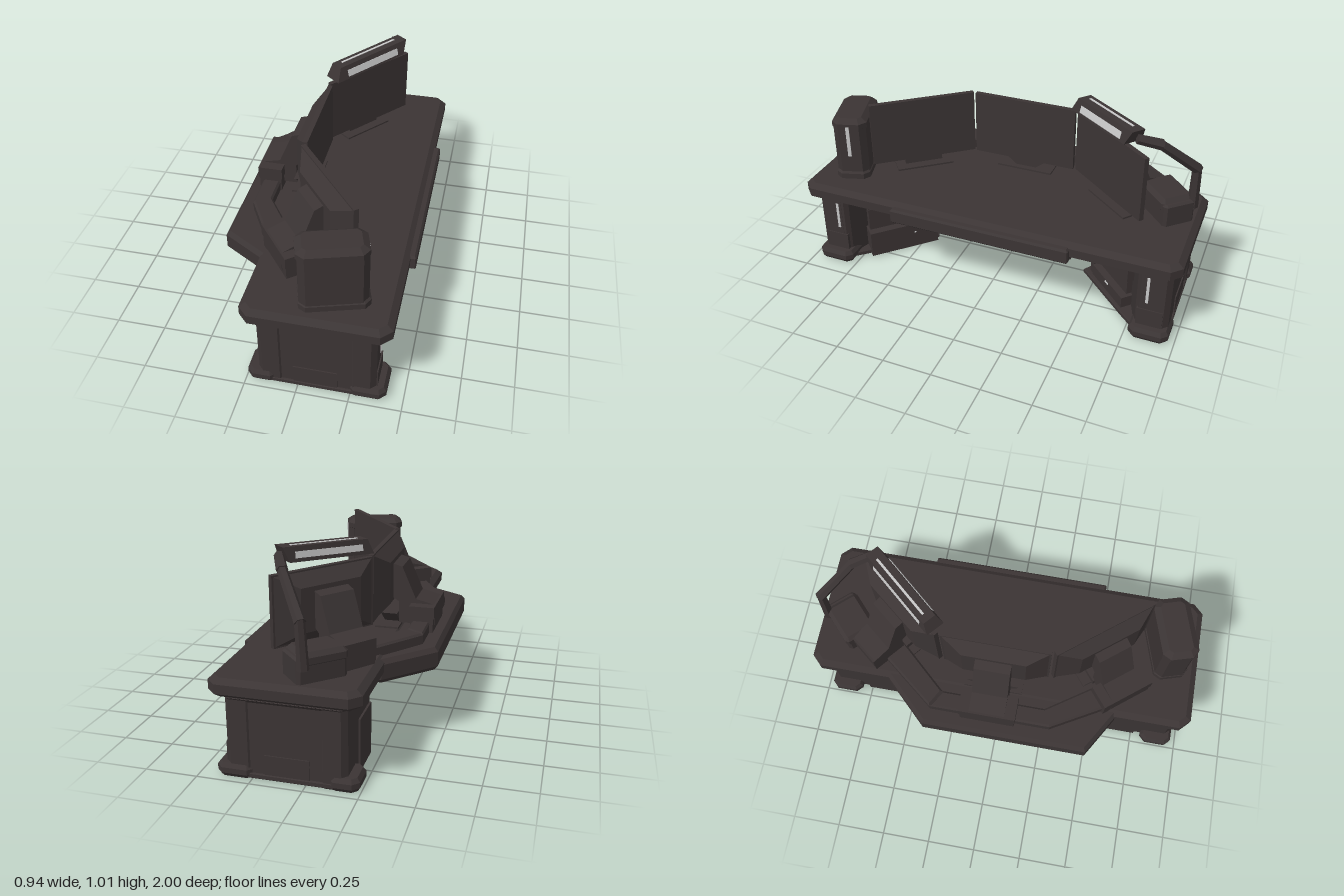
import * as THREE from 'three';

export function createModel() {
  const root = new THREE.Group();
  const dark = new THREE.MeshStandardMaterial({ color: 0x3b3434 });
  dark.name = 'dark casing';
  const glow = new THREE.MeshStandardMaterial({ color: 0xc8c8c8 });
  glow.name = 'pale light';

  const add = (name, geo, mat = dark, parent = root) => {
    const m = new THREE.Mesh(geo, mat);
    m.name = name;
    parent.add(m);
    return m;
  };
  const group = (name, x, y, z, ry = 0) => {
    const g = new THREE.Group();
    g.name = name;
    g.position.set(x, y, z);
    g.rotation.y = ry;
    root.add(g);
    return g;
  };
  const box = (name, w, h, d, x, y, z, mat = dark, parent = root) => {
    const m = add(name, new THREE.BoxGeometry(w, h, d), mat, parent);
    m.position.set(x, y, z);
    return m;
  };
  const outline = (pts) => new THREE.Shape(pts.map(([a, b]) => new THREE.Vector2(a, b)));
  // Horizontal slab from a plan outline of [x, z] points; rims cut in by b and down by t
  const slab = (name, pts, y0, y1, b = 0.015, parent = root, t = b) => {
    const geo = new THREE.ExtrudeGeometry(outline(pts.map(([x, z]) => [x, -z])), {
      depth: y1 - y0 - 2 * t, bevelEnabled: true, bevelSegments: 1,
      bevelSize: b, bevelThickness: t, bevelOffset: -b,
    });
    geo.rotateX(-Math.PI / 2).translate(0, y0 + t, 0);
    return add(name, geo, dark, parent);
  };
  const cutRect = (x0, x1, z0, z1, c) => [
    [x0 + c, z0], [x1 - c, z0], [x1, z0 + c], [x1, z1 - c],
    [x1 - c, z1], [x0 + c, z1], [x0, z1 - c], [x0, z0 + c]];
  // Box whose -z end shrinks by the factors sx and sy
  const taperBack = (w, h, d, sx, sy) => {
    const geo = new THREE.BoxGeometry(w, h, d);
    const p = geo.attributes.position;
    for (let i = 0; i < p.count; i++) {
      if (p.getZ(i) < 0) p.setXY(i, p.getX(i) * sx, p.getY(i) * sy);
    }
    geo.computeVertexNormals();
    return geo;
  };

  // Desk top, with a wider middle section
  slab('deskTop', cutRect(-0.26, 0.44, -1, 1, 0.05), 0.395, 0.484, 0.03, root, 0.022);
  slab('deskUnderside', cutRect(-0.22, 0.4, -0.97, 0.97, 0.05), 0.362, 0.42, 0.03);
  slab('middleDesk', [[-0.47, -0.36], [-0.25, -0.59], [0.3, -0.47], [0.41, -0.47],
    [0.41, 0.47], [0.3, 0.47], [-0.25, 0.62], [-0.47, 0.49]], 0.36, 0.476, 0.018, root, 0.022);
  slab('frontEdge', cutRect(0.34, 0.468, -0.47, 0.47, 0.005), 0.386, 0.466, 0.01);

  // Raised ledge running behind the screens
  slab('backLedge', [[-0.39, -0.33], [-0.3, -0.28], [-0.3, 0.25], [-0.1, 0.54], [0.04, 0.64],
    [-0.08, 0.72], [-0.2, 0.62], [-0.39, 0.29]], 0.46, 0.53, 0.01);
  slab('backLedgeRight', [[-0.39, -0.33], [-0.13, -0.66], [-0.03, -0.58], [-0.3, -0.28]], 0.46, 0.53, 0.01);

  // Pedestals at both ends
  for (const s of [1, -1]) {
    const flip = (pts) => pts.map(([x, z]) => [x, z * s]);
    slab('pedestal', flip([[-0.19, 0.57], [-0.09, 0.57], [0.1, 0.7], [0.35, 0.79], [0.37, 0.81],
      [0.37, 0.92], [0.34, 0.95], [-0.16, 0.95], [-0.19, 0.92]]), 0, 0.41, 0.004);
    slab('pedestalBase', flip([[-0.19, 0.57], [0.02, 0.43], [0.3, 0.72], [0.37, 0.8],
      [0.37, 0.96], [-0.19, 0.96]]), 0.005, 0.03, 0.004);
    // Corner posts and feet
    for (const x of [-0.125, 0.305]) {
      slab('cornerPost', flip(cutRect(x - 0.065, x + 0.066, 0.8, 0.957, 0.025)), 0, 0.4, 0.006);
    }
    slab('backFoot', flip(cutRect(-0.245, -0.1, 0.8, 0.97, 0.03)), 0, 0.066, 0.014, root, 0.02);
    slab('frontFoot', flip(cutRect(0.24, 0.42, 0.77, 0.97, 0.03)), 0, 0.066, 0.014, root, 0.02);
    box('frontSkirt', 0.03, 0.1, 0.13, 0.362, 0.11, s * 0.865);
    box('backSkirt', 0.03, 0.26, 0.19, -0.185, 0.13, s * 0.67);
    box('lowerEndPanel', 0.21, 0.12, 0.008, 0.085, 0.065, s * 0.952);
    box('columnLight', 0.004, 0.15, 0.014, 0.373, 0.275, s * 0.845, glow);

    // Drawers turned toward the seat
    const d = group('drawers', 0.05, 0, s * 0.69, Math.atan2(1, -s));
    if (s > 0) {
      box('upperDrawer', 0.36, 0.225, 0.3, 0, 0.262, -0.01, dark, d);
      box('lowerDrawer', 0.38, 0.145, 0.32, 0, 0.078, 0.025, dark, d);
      box('drawerLip', 0.365, 0.012, 0.3, 0, 0.275, -0.006, dark, d);
      box('drawerLight', 0.06, 0.006, 0.004, 0, 0.23, 0.141, glow, d);
      box('drawerLight', 0.012, 0.006, 0.004, 0.06, 0.1, 0.186, glow, d);
    } else {
      box('upperCabinet', 0.33, 0.17, 0.27, 0, 0.285, -0.01, dark, d);
      box('lowerCabinet', 0.26, 0.18, 0.24, 0, 0.11, -0.02, dark, d);
      box('cabinetStep', 0.3, 0.06, 0.28, 0, 0.06, 0, dark, d);
      box('cabinetPost', 0.03, 0.35, 0.03, -0.165, 0.19, 0.12, dark, d);
      box('cabinetLight', 0.14, 0.016, 0.004, 0.02, 0.312, 0.127, glow, d);
      box('cabinetLight', 0.04, 0.008, 0.004, 0.03, 0.235, 0.127, glow, d);
      box('cabinetLight', 0.03, 0.008, 0.004, 0, 0.08, 0.142, glow, d);
    }
  }

  // Three screens, each on a leaning neck and a rear block; local +z faces the seat
  const screens = [
    ['centreScreen', -0.125, -0.03, Math.PI / 2, 0.545, 0.29],
    ['leftScreen', 0.045, 0.475, Math.atan2(0.78, -0.63), 0.55, 0.28],
    ['rightScreen', 0.04, -0.535, Math.atan2(0.78, 0.63), 0.55, 0.18],
  ];
  for (const [name, x, z, ry, w, bw] of screens) {
    const g = group(name, x, 0, z, ry);
    box('screenPanel', w, 0.34, 0.025, 0, 0.72, 0, dark, g);
    add('screenBack', taperBack(w - 0.01, 0.33, 0.06, 0.6, 0.64), dark, g)
      .position.set(0, 0.72, -0.04);
    // Neck profile, drawn sideways and extruded across the width
    const neck = outline([[-0.05, 0.81], [-0.115, 0.79], [-0.185, 0.63],
      [-0.285, 0.605], [-0.285, 0.5], [-0.1, 0.5], [-0.1, 0.61], [-0.05, 0.64]]);
    const ng = new THREE.ExtrudeGeometry(neck, { depth: 0.18, bevelEnabled: false });
    ng.translate(0, 0, -0.09).rotateY(-Math.PI / 2);
    add('screenNeck', ng, dark, g);
    box('rearBlock', bw - 0.01, 0.08, 0.115, 0, 0.51, -0.225, dark, g);
    box('rearBlockCap', bw, 0.06, 0.125, 0, 0.577, -0.225, dark, g);
    box('footPlate', 0.3, 0.016, 0.12, 0, 0.485, -0.05, dark, g);
    if (name === 'centreScreen') {
      // Inverted wedge foot below the panel
      const wedge = outline([[-0.14, 0.56], [-0.05, 0.49], [0.05, 0.49], [0.14, 0.56]]);
      add('screenFoot', new THREE.ExtrudeGeometry(wedge, { depth: 0.08, bevelEnabled: false }), dark, g)
        .position.z = -0.1;
    } else {
      box('screenFoot', 0.2, 0.04, 0.08, 0, 0.505, -0.08, dark, g);
    }
  }

  // Speaker tower; local +x faces the seat
  const tower = group('speakerTower', 0.142, 0, 0.822, 0.3);
  slab('towerBody', cutRect(-0.155, 0.158, -0.084, 0.084, 0.03), 0.47, 0.8, 0.008, tower);
  slab('towerCap', cutRect(-0.162, 0.16, -0.09, 0.09, 0.035), 0.75, 0.822, 0.03, tower, 0.022);
  slab('towerPlinth', cutRect(-0.158, 0.168, -0.088, 0.088, 0.03), 0.47, 0.525, 0.012, tower);
  box('towerLight', 0.004, 0.17, 0.018, 0.161, 0.7, 0.005, glow, tower);

  // Lamp base
  const base = group('lampBase', -0.01, 0, -0.825, 0.75);
  slab('lampBox', cutRect(-0.12, 0.12, -0.085, 0.085, 0.015), 0.47, 0.6, 0.01, base);
  slab('lampBoxLid', cutRect(-0.125, 0.1, -0.09, 0.09, 0.015), 0.55, 0.62, 0.02, base);

  // Jointed lamp arm
  const path = [[0, 0.56, -0.95], [0.01, 0.77, -0.95], [0.14, 0.935, -0.79], [0.185, 0.965, -0.7]]
    .map((p) => new THREE.Vector3(...p));
  for (let i = 0; i < 3; i++) {
    const dir = path[i + 1].clone().sub(path[i]);
    const geo = new THREE.CylinderGeometry(0.023, 0.027, dir.length() + 0.02, 6).toNonIndexed();
    geo.computeVertexNormals();
    const m = add('lampArm', geo);
    m.position.copy(path[i]).addScaledVector(dir, 0.5);
    m.quaternion.setFromUnitVectors(new THREE.Vector3(0, 1, 0), dir.normalize());
  }

  // Lamp head with light strips; local x runs along the head, +z toward the seat
  const head = group('lampHead', 0.038, 0.963, -0.508, Math.atan2(0.38, 0.32));
  head.rotation.order = 'YXZ';
  head.rotation.z = 0.055;
  // Section in (z, y); the top end of the housing is set back from its lower end
  const section = [[0.05, -0.036], [0.03, 0.034], [-0.04, 0.034], [-0.05, -0.036]];
  const hg = new THREE.ExtrudeGeometry(outline(section.map(([z, y]) => [-z, y]).reverse()),
    { depth: 0.45, bevelEnabled: false });
  hg.translate(0, 0, -0.225).rotateY(Math.PI / 2);
  const hp = hg.attributes.position;
  for (let i = 0; i < hp.count; i++) hp.setX(i, hp.getX(i) + hp.getY(i) * 0.5);
  hg.computeVertexNormals();
  add('lampHousing', hg, dark, head);
  box('topLight', 0.36, 0.004, 0.012, 0.01, 0.0345, -0.012, glow, head);
  box('seatSideLight', 0.34, 0.036, 0.004, 0, -0.008, 0.042, glow, head).rotation.x = -0.278;
  box('rearSideLight', 0.36, 0.03, 0.004, 0, -0.004, -0.0455, glow, head).rotation.x = 0.142;

  return root;
}
